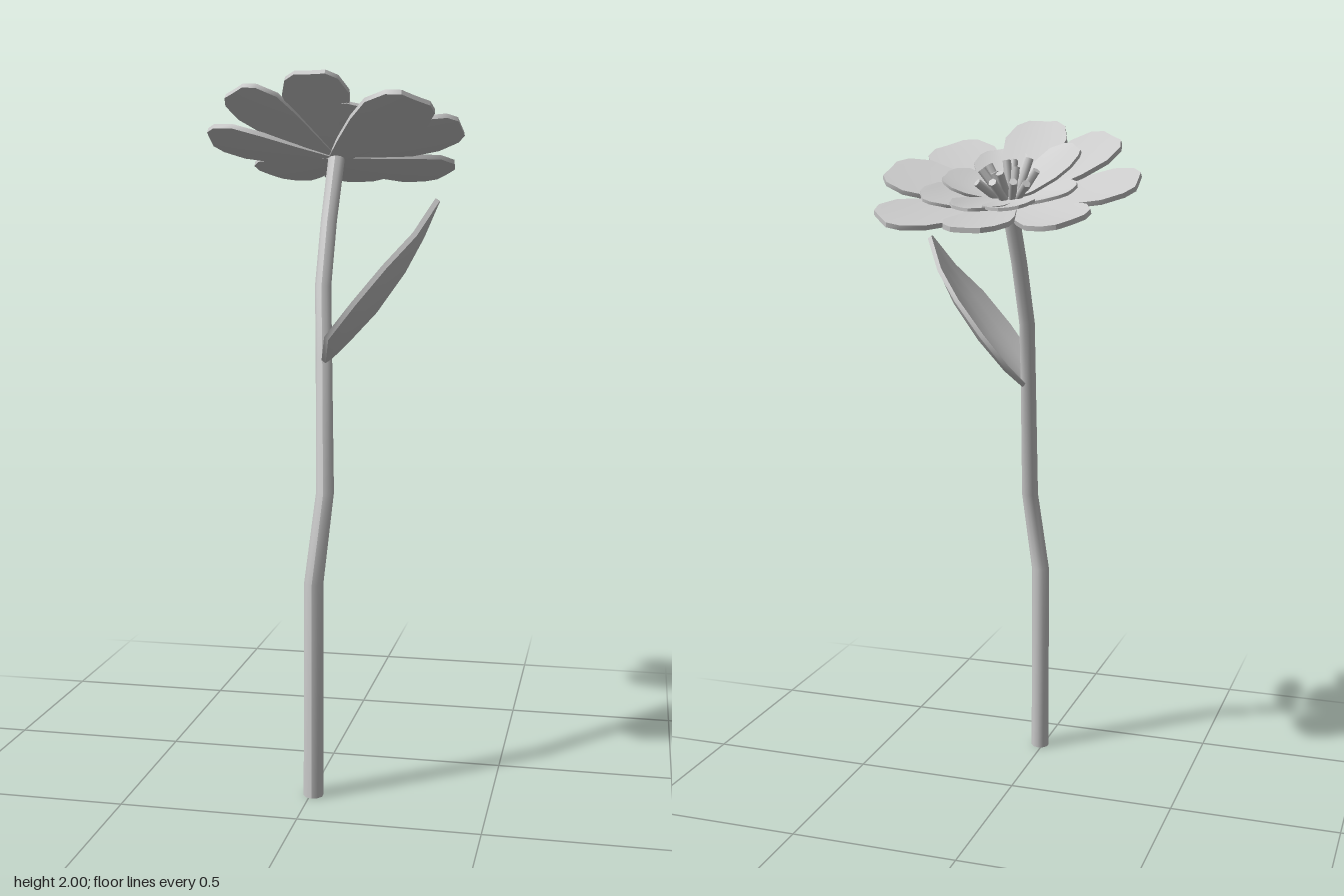
import * as THREE from 'three';

const material = new THREE.MeshStandardMaterial({ color: 0xcccccc });
const rad = THREE.MathUtils.degToRad;

// Thin blade along +x. rows: [distance, half width]; cup lifts the side edges, sag lowers the middle of its length.
function bladeGeometry(rows, thickness, cup, sag) {
  const n = rows.length - 1;
  const length = rows[n][0];
  const widest = Math.max(...rows.map((r) => r[1]));
  const geo = new THREE.BoxGeometry(1, thickness, 1, n, 1, 6);
  const p = geo.attributes.position;
  for (let i = 0; i < p.count; i++) {
    const [d, half] = rows[Math.round((p.getX(i) + 0.5) * n)];
    const z = p.getZ(i) * 2 * half;
    const y = p.getY(i) + cup * (z / widest) ** 2 - sag * Math.sin((Math.PI * d) / length);
    p.setXYZ(i, d, y, z);
  }
  geo.computeVertexNormals();
  return geo;
}

// Stem: rings of a cylinder moved onto a bent centre line of [x, y, z, radius]
function makeStem() {
  const path = [
    [0.009, 0, 0.327, 0.028], [0.009, 0.61, 0.32, 0.027], [0.034, 0.86, 0.287, 0.025],
    [0.013, 1.23, 0.2, 0.023], [-0.003, 1.42, 0.135, 0.023], [0, 1.6, 0.07, 0.023], [0.008, 1.785, -0.005, 0.024],
  ];
  const n = path.length - 1;
  const geo = new THREE.CylinderGeometry(1, 1, 1, 10, n);
  const p = geo.attributes.position;
  for (let i = 0; i < p.count; i++) {
    const [x, y, z, r] = path[Math.round((p.getY(i) + 0.5) * n)];
    p.setXYZ(i, x + p.getX(i) * r, y, z + p.getZ(i) * r);
  }
  geo.computeVertexNormals();
  const stem = new THREE.Mesh(geo, material);
  stem.name = 'stem';
  return stem;
}

function makeLeaf() {
  const rows = [[0, 0.012], [0.08, 0.115], [0.2, 0.128], [0.33, 0.114], [0.44, 0.064], [0.545, 0.006]];
  const leaf = new THREE.Mesh(bladeGeometry(rows, 0.014, 0.045, 0.036), material);
  leaf.name = 'leaf';
  leaf.position.set(0.016, 1.212, 0.208);
  leaf.rotation.z = rad(55);
  return leaf;
}

// Petal pointing at an angle around the flower (0 = +x, 90 = +z), raised by lift degrees
function makePetal(name, geo, [angle, lift, scale], height) {
  const petal = new THREE.Mesh(geo, material);
  petal.name = name;
  petal.rotation.set(0, -rad(angle), rad(lift), 'YXZ');
  petal.scale.set(scale, 1, scale);
  petal.position.y = height;
  return petal;
}

export function createModel() {
  const model = new THREE.Group();
  model.name = 'flower';
  model.add(makeStem(), makeLeaf());

  // Blossom, leaning towards the back
  const tilt = rad(23);
  const blossom = new THREE.Group();
  blossom.name = 'blossom';
  blossom.position.set(0, 1.778, -0.01);
  blossom.rotation.x = -tilt;
  model.add(blossom);

  // Outer ring of eight broad petals: [angle, lift, scale]
  const outer = bladeGeometry(
    [[0, 0.02], [0.1, 0.055], [0.2, 0.085], [0.285, 0.099], [0.345, 0.078], [0.37, 0.045]], 0.014, 0.006, 0.006);
  const outerPetals = [
    [5, 12, 1.01], [46, 6, 1.06], [92, 15, 0.95], [133, 13, 0.98],
    [177, 9, 1.01], [225, 11, 0.97], [272, 14, 0.94], [319, 10, 1.05],
  ];
  for (const placing of outerPetals) blossom.add(makePetal('outerPetal', outer, placing, 0));

  // Inner ring of seven smaller, steeper petals: [angle, lift, scale]
  const inner = bladeGeometry(
    [[0, 0.02], [0.06, 0.05], [0.13, 0.073], [0.18, 0.074], [0.22, 0.05], [0.235, 0.028]], 0.009, 0.012, 0.008);
  const innerPetals = [
    [-108, 18, 0.97], [-70, 17, 0.95], [-27, 13, 1.07], [7, 16, 0.86],
    [66, 10, 1.05], [143, 24, 1.0], [197, 15, 0.94],
  ];
  for (const placing of innerPetals) blossom.add(makePetal('innerPetal', inner, placing, 0.012));

  // Small domed centre under the stamens
  const centre = new THREE.Mesh(new THREE.SphereGeometry(0.035, 8, 6), material);
  centre.name = 'centre';
  centre.scale.y = 0.5;
  centre.position.y = 0.008;
  blossom.add(centre);

  // Stamens fanning out from the centre, placed by the x and z of their tips
  const tips = [
    [-0.07, -0.083], [-0.035, -0.092], [0.018, -0.115], [0.075, -0.08], [-0.08, -0.024],
    [0.015, -0.062], [0.045, -0.022], [0.082, -0.022], [-0.043, 0.03], [0.012, 0.055],
    [0.07, 0.005], [0.02, 0.016], [-0.007, 0.015],
  ];
  const up = new THREE.Vector3(0, 1, 0);
  tips.forEach(([x, z], i) => {
    const h = 0.08 + 0.008 * (i % 3);
    const tip = new THREE.Vector3(x, h, (z + 0.01 + h * Math.sin(tilt)) / Math.cos(tilt));
    const base = new THREE.Vector3(tip.x * 0.3, 0.01, tip.z * 0.3);
    const along = tip.clone().sub(base);
    const stamen = new THREE.Mesh(new THREE.CylinderGeometry(0.012, 0.012, along.length(), 6), material);
    stamen.name = 'stamen';
    stamen.position.copy(base).add(tip).multiplyScalar(0.5);
    stamen.quaternion.setFromUnitVectors(up, along.normalize());
    blossom.add(stamen);
  });

  return model;
}
